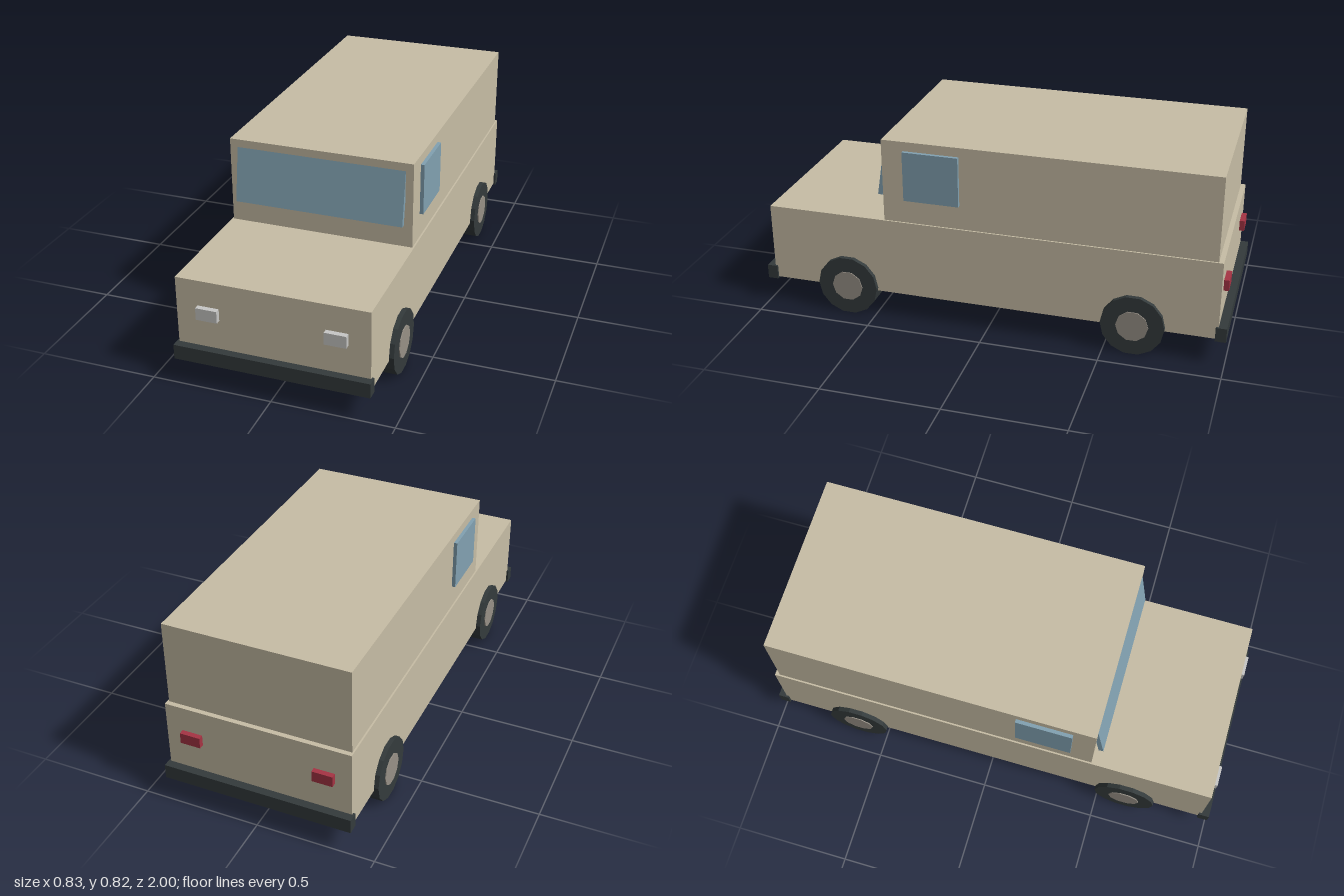
import * as THREE from 'three';

const mat = (name, color) => {
  const m = new THREE.MeshStandardMaterial({ color });
  m.name = name;
  return m;
};

export function createModel() {
  const model = new THREE.Group();
  model.name = 'van';

  const paint = mat('beige paint', 0xc8bea6);
  const glass = mat('blue glass', 0x82a2b2);
  const rubber = mat('dark rubber', 0x343b3c);
  const hubGrey = mat('hub grey', 0x989187);
  const lampWhite = mat('lamp white', 0xc8c8c6);
  const lampRed = mat('lamp red', 0xa63444);
  rubber.flatShading = hubGrey.flatShading = true;

  // Box given by its minimum and maximum corners
  const box = (name, material, [x0, y0, z0], [x1, y1, z1]) => {
    const mesh = new THREE.Mesh(new THREE.BoxGeometry(x1 - x0, y1 - y0, z1 - z0), material);
    mesh.position.set((x0 + x1) / 2, (y0 + y1) / 2, (z0 + z1) / 2);
    mesh.name = name;
    model.add(mesh);
    return mesh;
  };

  // Body: long lower tub with a slightly narrower cabin on top
  box('lowerBody', paint, [-0.393, 0.12, -0.966], [0.393, 0.46, 0.966]);
  box('cabin', paint, [-0.386, 0.46, -0.946], [0.386, 0.82, 0.446]);

  // Windscreen leaning back into the cabin front
  const screen = box('windscreen', glass, [-0.354, 0.558, 0.444], [0.354, 0.788, 0.464]);
  screen.rotation.x = -0.158;

  // Bumpers
  box('frontBumper', rubber, [-0.402, 0.113, 0.955], [0.402, 0.175, 1]);
  box('rearBumper', rubber, [-0.402, 0.113, -1], [0.402, 0.175, -0.955]);

  // Wheel parts turn about the x axis
  const disc = (name, material, radius, width, sides) => {
    const geometry = new THREE.CylinderGeometry(radius, radius, width, sides).rotateZ(Math.PI / 2);
    const mesh = new THREE.Mesh(geometry, material);
    mesh.name = name;
    return mesh;
  };

  for (const s of [-1, 1]) {
    const side = s > 0 ? 'left' : 'right';

    // Paired details are centred at x and mirrored by s
    const pair = (name, material, x, w, [y0, y1], [z0, z1]) =>
      box(side + name, material, [s * x - w / 2, y0, z0], [s * x + w / 2, y1, z1]);
    pair('SideWindow', glass, 0.39, 0.022, [0.565, 0.78], [0.115, 0.352]);
    pair('Headlight', lampWhite, 0.26, 0.088, [0.301, 0.352], [0.95, 0.988]);
    pair('TailLight', lampRed, 0.281, 0.086, [0.305, 0.352], [-0.988, -0.95]);

    // Wheels with hubs standing slightly proud on both faces
    for (const z of [0.62, -0.62]) {
      const wheel = new THREE.Group();
      wheel.name = side + (z > 0 ? 'FrontWheel' : 'RearWheel');
      wheel.add(disc('tyre', rubber, 0.133, 0.103, 14), disc('hub', hubGrey, 0.068, 0.111, 10));
      wheel.position.set(s * 0.361, 0.134, z);
      model.add(wheel);
    }
  }
  return model;
}
